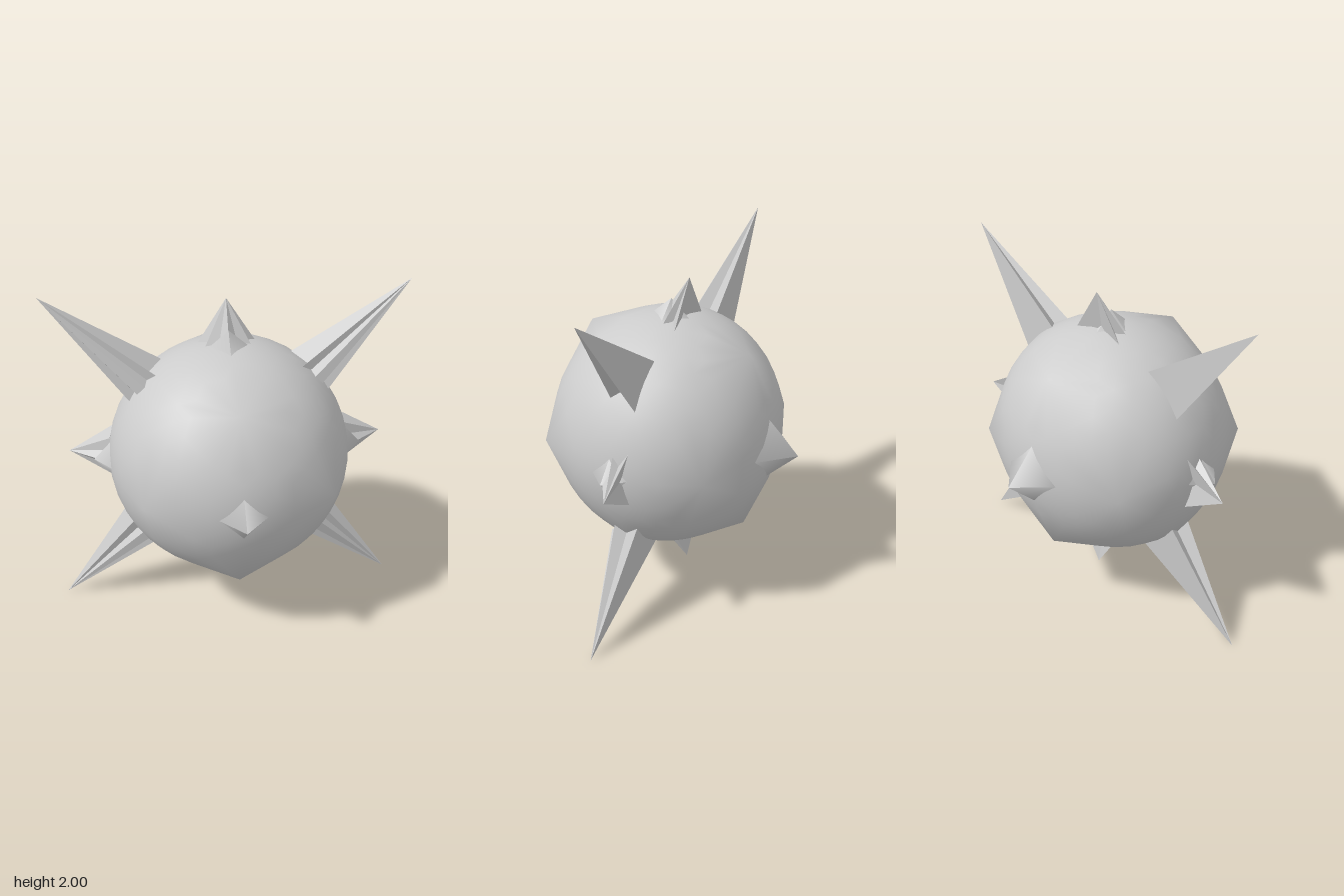
import * as THREE from 'three';
import { mergeVertices } from 'three/addons/utils/BufferGeometryUtils.js';
import { ConvexGeometry } from 'three/addons/geometries/ConvexGeometry.js';

const CENTRE_Y = 1;

// Rounded body: the hull of a slightly flattened ball and raised corners
// halfway between each pair of axes
function bodyGeometry() {
  const points = [];
  const pos = new THREE.IcosahedronGeometry(1, 7).getAttribute('position');
  for (let i = 0; i < pos.count; i++) {
    const p = new THREE.Vector3().fromBufferAttribute(pos, i);
    const depth = p.z > 0 ? 0.675 : 0.635;
    points.push(new THREE.Vector3(p.x * 0.685, p.y * 0.685, p.z * depth));
  }
  for (const a of [-1, 1]) {
    for (const b of [-1, 1]) {
      const z = b > 0 ? 0.515 : -0.48;
      points.push(new THREE.Vector3(a * 0.52, 0, z));
      points.push(new THREE.Vector3(0, a * 0.54, z));
      points.push(new THREE.Vector3(a * 0.5, b * 0.5, 0));
    }
  }
  let geo = new ConvexGeometry(points);
  geo.deleteAttribute('normal');
  geo = mergeVertices(geo, 1e-4);
  geo.computeVertexNormals();
  return geo;
}

// Fluted spike along +y. The half section lists [width, z, base height]
// from the flat back round to the front, and is mirrored in x.
function spikeGeometry(half, tip, hub) {
  const mirrored = half.filter(p => p[0] > 0).reverse().map(([w, z, h]) => [-w, z, h]);
  const ring = [...half, ...mirrored].map(([w, z, h]) => new THREE.Vector3(w, h, z));
  const corners = [];
  ring.forEach((p, i) => {
    const q = ring[(i + 1) % ring.length];
    corners.push(tip, q, p, hub, p, q);
  });
  const geo = new THREE.BufferGeometry().setFromPoints(corners);
  geo.computeVertexNormals();
  return geo;
}

export function createModel() {
  const model = new THREE.Group();
  model.name = 'spikedBall';
  const smooth = new THREE.MeshStandardMaterial({ color: 0xcccccc });
  const faceted = new THREE.MeshStandardMaterial({
    color: 0xcccccc, flatShading: true, side: THREE.DoubleSide,
  });

  function add(name, geo, material) {
    const mesh = new THREE.Mesh(geo, material);
    mesh.name = name;
    mesh.position.y = CENTRE_Y;
    model.add(mesh);
    return mesh;
  }

  add('body', bodyGeometry(), smooth);

  // Low four-sided points on each axis
  const axes = [[1, 0, 0], [-1, 0, 0], [0, 1, 0], [0, -1, 0], [0, 0, 1], [0, 0, -1]];
  for (const axis of axes) {
    const dir = new THREE.Vector3(...axis);
    const top = axis[2] ? 0.79 : 0.77;
    const cone = new THREE.ConeGeometry(0.18, top - 0.61, 4);
    cone.translate(0, (top + 0.61) / 2, 0);
    const point = add('axisPoint', cone, smooth);
    point.quaternion.setFromUnitVectors(new THREE.Vector3(0, 1, 0), dir);
  }

  // Long diagonal spikes and short spikes between them, alternating in a ring
  const longSpike = spikeGeometry(
    [[0.145, -0.1, 0.66], [0.06, -0.005, 0.67], [0.11, 0.06, 0.65], [0.05, 0.045, 0.69], [0.03, 0.1, 0.69]],
    new THREE.Vector3(0, Math.SQRT2, -0.045), new THREE.Vector3(0, 0.66, -0.04));
  const shortSpike = spikeGeometry(
    [[0, -0.07, 0.66], [0.16, -0.105, 0.65], [0.085, -0.06, 0.68], [0.13, -0.015, 0.66], [0.05, -0.01, 0.68], [0, 0.045, 0.68]],
    new THREE.Vector3(0, 0.91, -0.11), new THREE.Vector3(0, 0.66, -0.04));
  for (let i = 0; i < 8; i++) {
    const long = i % 2 === 1;
    const spike = add(long ? 'longSpike' : 'shortSpike', long ? longSpike : shortSpike, faceted);
    spike.rotation.z = i * Math.PI / 4;
  }
  return model;
}
